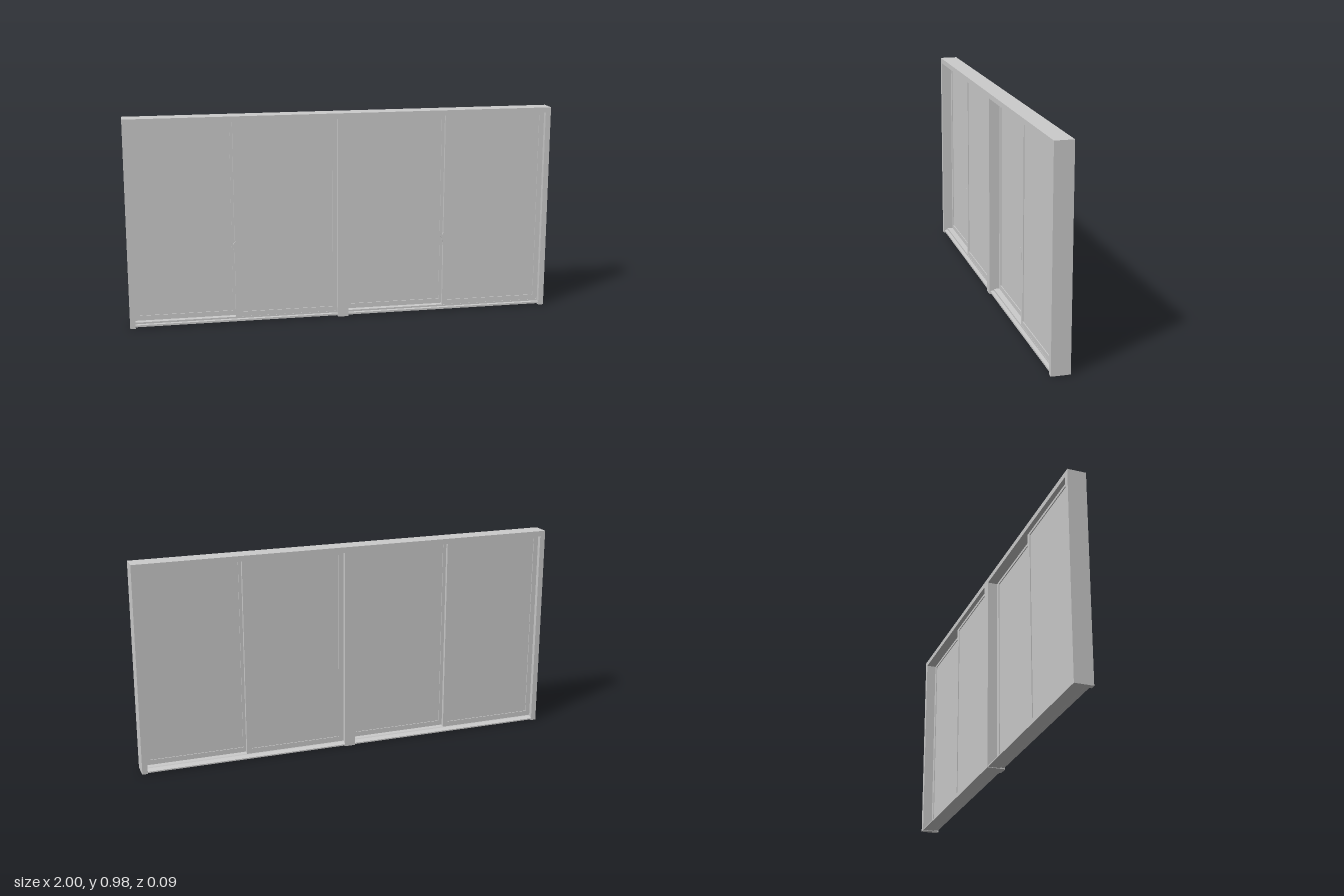
import * as THREE from 'three';

const mat = new THREE.MeshStandardMaterial({ color: 0xcccccc, flatShading: true });
const H = 0.975, Z = 0.0425, T = 0.025;

// Box given by its min and max corners
function box(parent, name, x0, x1, y0, y1, z0, z1) {
  const mesh = new THREE.Mesh(new THREE.BoxGeometry(x1 - x0, y1 - y0, z1 - z0), mat);
  mesh.position.set((x0 + x1) / 2, (y0 + y1) / 2, (z0 + z1) / 2);
  mesh.name = name;
  parent.add(mesh);
  return mesh;
}

// Outline in the (x, y) plane extruded along z from zero
function extrude(points, depth) {
  const shape = new THREE.Shape(points.map(([x, y]) => new THREE.Vector2(x, y)));
  return new THREE.ExtrudeGeometry(shape, { depth, bevelEnabled: false });
}

// Sliding sash: one mitre-free ring with a thin pane set into it
function sash(name, x0, x1, z0, z1) {
  const group = new THREE.Group();
  group.name = name;
  const y0 = 0.02, y1 = 0.955, stile = 0.023, g0 = 0.046, g1 = 0.937;
  const shape = new THREE.Shape([
    new THREE.Vector2(x0, y0), new THREE.Vector2(x1, y0),
    new THREE.Vector2(x1, y1), new THREE.Vector2(x0, y1)]);
  shape.holes.push(new THREE.Path([
    new THREE.Vector2(x0 + stile, g0), new THREE.Vector2(x0 + stile, g1),
    new THREE.Vector2(x1 - stile, g1), new THREE.Vector2(x1 - stile, g0)]));
  const ring = new THREE.Mesh(
    new THREE.ExtrudeGeometry(shape, { depth: z1 - z0, bevelEnabled: false }), mat);
  ring.position.z = z0;
  ring.name = 'sashFrame';
  group.add(ring);
  box(group, 'pane', x0 + stile, x1 - stile, g0, g1, z0 + 0.004, z1 - 0.004);
  return group;
}

// Latch: tapered keeper and small lever on the meeting stile
function latch(x, y, z) {
  const group = new THREE.Group();
  group.name = 'latch';
  const keeper = new THREE.Mesh(extrude(
    [[0.008, -0.032], [0.008, 0.03], [0, 0.024], [-0.006, 0.012], [-0.006, -0.012], [0, -0.025]],
    0.006), mat);
  keeper.name = 'latchKeeper';
  group.add(keeper);
  const lever = new THREE.Mesh(extrude(
    [[-0.006, -0.008], [-0.006, 0.012], [-0.013, 0.018], [-0.013, 0.008], [-0.009, 0]], 0.005), mat);
  lever.name = 'latchLever';
  group.add(lever);
  group.position.set(x, y, z);
  return group;
}

export function createModel() {
  const model = new THREE.Group();
  model.name = 'slidingWindow';

  // Outer frame
  box(model, 'leftJamb', 1 - T, 1, 0, H, -Z, Z);
  box(model, 'rightJamb', -1, -1 + T, 0, H, -Z, Z);
  box(model, 'mullion', -T, T, 0, H - T, -Z, Z);
  box(model, 'head', -1 + T, 1 - T, H - T, H, -Z, Z);

  // Sill section, drawn as (-z, y), runs along x through each bay
  const section = [
    [-0.038, 0.006], [-0.02, 0.006], [-0.016, 0.003], [0.04, 0.003], [0.04, 0.009],
    [0.024, 0.019], [0.021, 0.023], [-0.021, 0.023], [-0.021, 0.015], [-0.038, 0.015]];
  for (const [side, cx] of [['right', -0.5], ['left', 0.5]]) {
    const width = 1 - 2 * T;
    const sill = new THREE.Mesh(extrude(section, width), mat);
    sill.rotation.y = Math.PI / 2;
    sill.position.x = cx - width / 2;
    sill.name = side + 'Sill';
    model.add(sill);

    // One sash on the rear track, one on the front track
    model.add(sash(side + 'RearSash', cx - 0.475, cx + 0.004, -0.022, -0.006));
    model.add(sash(side + 'FrontSash', cx - 0.008, cx + 0.475, 0.004, 0.02));
    model.add(latch(cx - 0.009, 0.36, 0.015));
  }
  return model;
}
